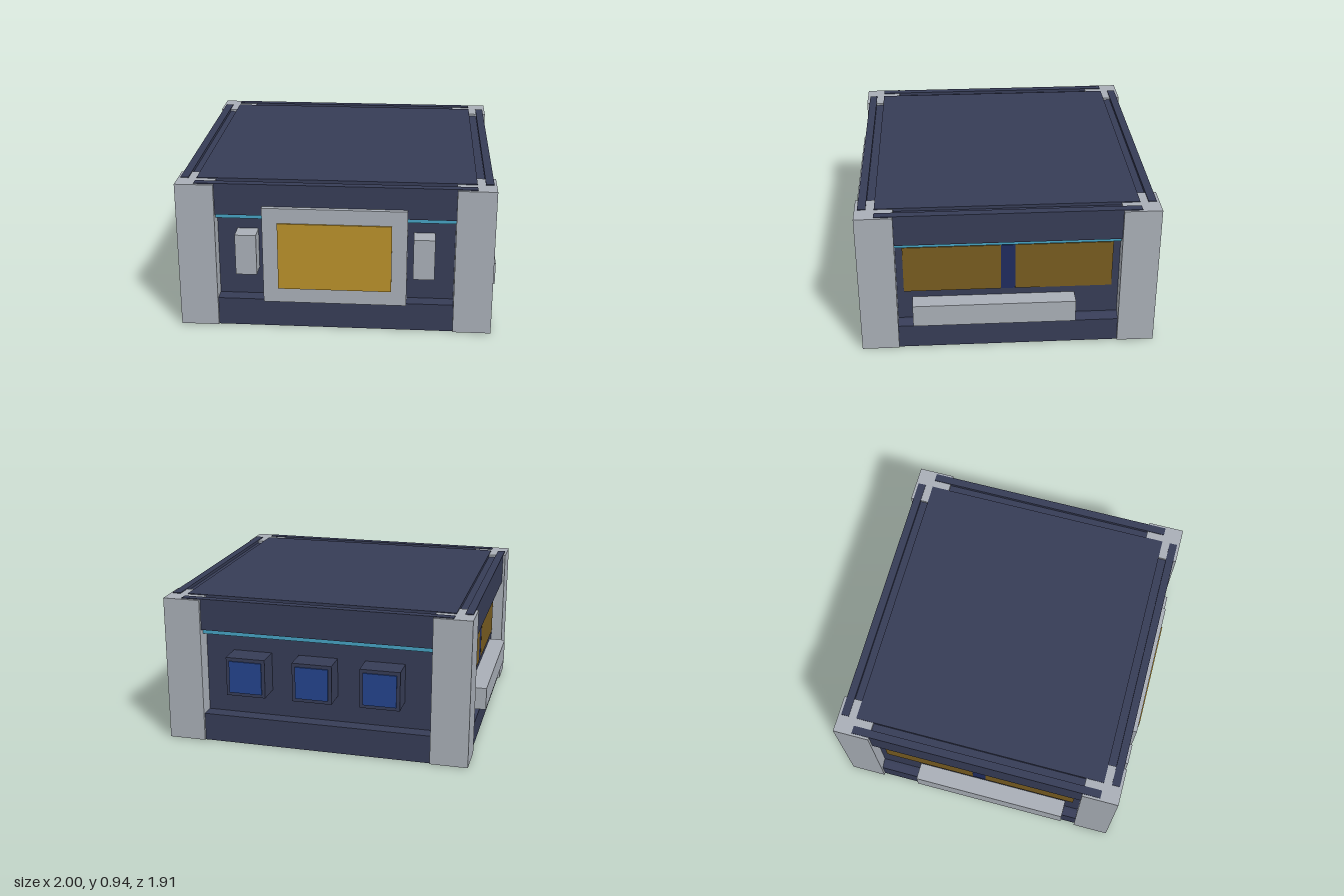
import * as THREE from 'three';

const mat = (name, color) => {
  const m = new THREE.MeshStandardMaterial({ color });
  m.name = name;
  return m;
};

export function createModel() {
  const hull = mat('dark hull', 0x363c56);
  const grey = mat('light grey', 0xa8aeb6);
  const gold = mat('gold', 0xb88f2a);
  const dimGold = mat('dim gold', 0x775c20);
  const cyan = mat('cyan', 0x46a2c2);
  const blue = mat('blue', 0x24448c);
  const navy = mat('navy', 0x202c5e);

  const model = new THREE.Group();
  model.name = 'module';
  const body = new THREE.Group();
  body.name = 'body';
  body.position.z = 0.0125;
  model.add(body);

  // Box given by its extents on each axis
  const box = (name, material, [x0, x1], [y0, y1], [z0, z1]) => {
    const mesh = new THREE.Mesh(new THREE.BoxGeometry(x1 - x0, y1 - y0, z1 - z0), material);
    mesh.position.set((x0 + x1) / 2, (y0 + y1) / 2, (z0 + z1) / 2);
    mesh.name = name;
    body.add(mesh);
    return mesh;
  };
  const span = (s, a, b) => (s > 0 ? [a, b] : [-b, -a]);

  // Base with sloped sills along both sides
  const profile = new THREE.Shape([
    [-0.95, 0], [0.95, 0], [0.95, 0.155], [0.91, 0.18], [-0.91, 0.18], [-0.95, 0.155],
  ].map(([x, y]) => new THREE.Vector2(x, y)));
  const base = new THREE.Mesh(
    new THREE.ExtrudeGeometry(profile, { depth: 1.8, bevelEnabled: false }), hull);
  base.position.z = -0.9;
  base.name = 'base';
  body.add(base);

  // Recessed walls, light strip, upper core and roof
  box('walls', hull, [-0.89, 0.89], [0.17, 0.75], [-0.8125, 0.8125]);
  box('lightStrip', cyan, [-0.92, 0.92], [0.707, 0.741], [-0.87, 0.87]);
  box('upperCore', hull, [-0.905, 0.905], [0.741, 0.92], [-0.855, 0.855]);
  box('roof', hull, [-0.85, 0.85], [0.9, 0.94], [-0.8, 0.8]);

  for (const s of [-1, 1]) {
    // Upper panels, whose ends run into the corner posts
    box('upperSidePanel', hull, span(s, 0.9, 0.95), [0.74, 0.94], [-0.8, 0.8]);
    box('upperEndPanel', hull, [-0.85, 0.85], [0.74, 0.94], span(s, 0.85, 0.9));

    // Corner posts
    for (const t of [-1, 1]) {
      box('cornerPost', grey, span(s, 0.73, 0.965), [0.003, 0.935], span(t, 0.6875, 0.9175));
    }

    // Side windows, divider and handrail
    for (const t of [-1, 1]) {
      box('sideWindow', dimGold, span(s, 0.889, 0.897), [0.378, 0.69], span(t, 0.044, 0.645));
    }
    box('windowDivider', navy, span(s, 0.889, 0.896), [0.378, 0.69], [-0.044, 0.044]);
    box('sideBar', grey, span(s, 0.88, 1), [0.187, 0.332], [-0.413, 0.593]);

    // Small pods beside the front hatch
    box('frontPod', grey, span(s, 0.478, 0.608), [0.36, 0.62], [0.8, 0.93]);
  }

  // Front hatch with its gold panel
  box('hatchFrame', grey, [-0.44, 0.44], [0.18, 0.8], [0.8, 0.93]);
  box('hatchPanel', gold, [-0.347, 0.347], [0.275, 0.705], [0.93, 0.9395]);

  // Row of three rear units with blue faces
  for (const x of [-0.425, 0, 0.425]) {
    box('rearUnit', hull, [x - 0.125, x + 0.125], [0.348, 0.596], [-0.962, -0.8]);
    box('rearUnitFace', blue, [x - 0.104, x + 0.104], [0.37, 0.574], [-0.9705, -0.962]);
  }
  return model;
}
